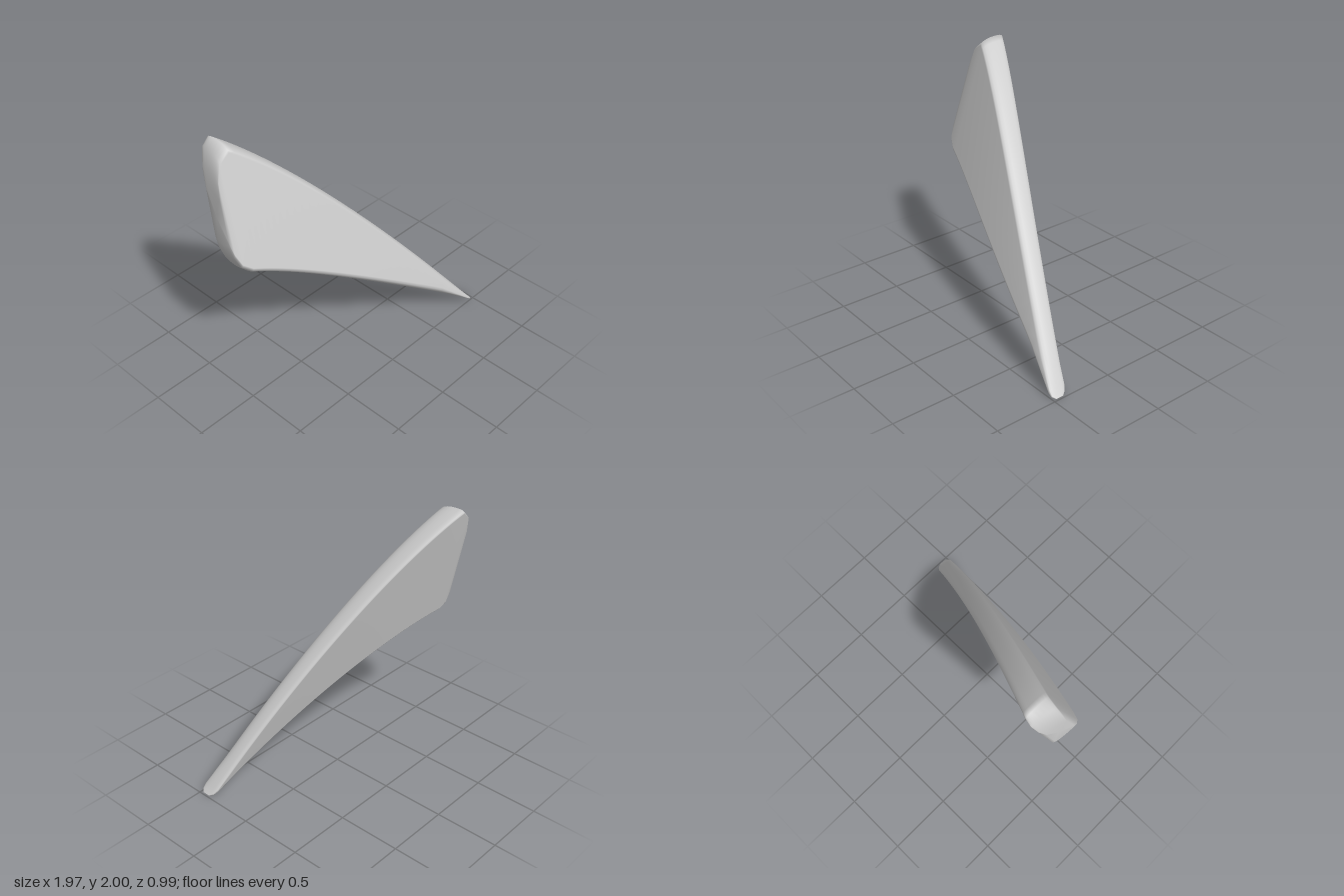
import * as THREE from 'three';

const V = (x, y) => new THREE.Vector2(x, y);

// Leaning, slightly bowed front surface of the blade, and its thickness along z
const frontZ = (x, y) => 0.42 + 0.1 * x - 0.32 * y + 0.06 * (1 - (x / 0.95) ** 2);
const thickness = (x) => 0.165 - 0.04 * x + 0.012 * x * x;

// Rounded cross-section between upper edge u and lower edge l, counter-clockwise seen from +x.
// scale narrows it in depth, slant moves its back towards +x
function section(u, l, scale = 1, slant = 0) {
  const H = u.y - l.y;
  // corner: [at top, at front, radius along height, radius as a share of thickness]
  const corners = [
    [1, 0, 0.025, 0.25],
    [1, 1, 0.05, 0.6],
    [0, 1, 0.065, 0.7],
    [0, 0, 0.02, 0.2],
  ];
  const points = [];
  corners.forEach(([top, front, rh, rw], k) => {
    const r = Math.min(rh, H * 0.35);
    for (let s = 0; s <= 5; s++) {
      const a = -Math.PI / 2 + (k + s / 5) * Math.PI / 2;
      const y = l.y + (top ? H - r : r) + r * Math.cos(a);
      const w = (front ? rw : 1 - rw) - rw * Math.sin(a);
      const t = (y - l.y) / H;
      const x = l.x + (u.x - l.x) * t;
      const depth = 0.5 + (w - 0.5) * scale;
      // the body is a little thicker along its lower edge
      const thick = thickness(x) + 0.05 * (1 - t) * H;
      points.push(x + slant * depth, y, frontZ(x, y) - thick * depth);
    }
  });
  return points;
}

function bladeGeometry() {
  const upper = new THREE.QuadraticBezierCurve(V(-0.82, 2), V(-0.22, 1.6), V(0.94, 0.065));
  const lower = new THREE.QuadraticBezierCurve(V(-0.89, 1.08), V(-0.37, 0.908), V(0.93, 0.025));

  // Rounded broad end, long swept body, then the narrow tip
  const rings = [
    section(V(-0.965, 1.68), V(-0.995, 1.3), 0.75, 0.03),
    section(V(-0.945, 1.82), V(-0.985, 1.21), 0.9, 0.035),
    section(V(-0.9, 1.945), V(-0.955, 1.13), 0.98, 0.03),
  ];
  const steps = 28;
  for (let i = 0; i <= steps; i++) {
    rings.push(section(upper.getPoint(i / steps), lower.getPoint(i / steps)));
  }
  rings.push(section(V(0.968, 0.028), V(0.962, 0.008), 0.85));
  rings.push(section(V(0.988, 0.008), V(0.986, 0), 0.45));

  const n = rings[0].length / 3;
  const positions = rings.flat();
  const index = [];
  for (let i = 0; i < rings.length - 1; i++) {
    for (let j = 0; j < n; j++) {
      const a = i * n + j, b = i * n + (j + 1) % n;
      index.push(a, b, a + n, b, b + n, a + n);
    }
  }
  // Close both ends
  [0, rings.length - 1].forEach((i) => {
    const c = [0, 0, 0];
    rings[i].forEach((v, k) => { c[k % 3] += v / n; });
    const centre = positions.length / 3;
    positions.push(...c);
    for (let j = 0; j < n; j++) {
      const a = i * n + j, b = i * n + (j + 1) % n;
      if (i === 0) index.push(centre, b, a);
      else index.push(centre, a, b);
    }
  });

  const geometry = new THREE.BufferGeometry();
  geometry.setAttribute('position', new THREE.Float32BufferAttribute(positions, 3));
  geometry.setIndex(index);
  geometry.computeVertexNormals();
  return geometry;
}

export function createModel() {
  const group = new THREE.Group();
  group.name = 'fin';
  const blade = new THREE.Mesh(bladeGeometry(), new THREE.MeshStandardMaterial({ color: 0xcccccc }));
  blade.name = 'blade';
  group.add(blade);
  return group;
}
